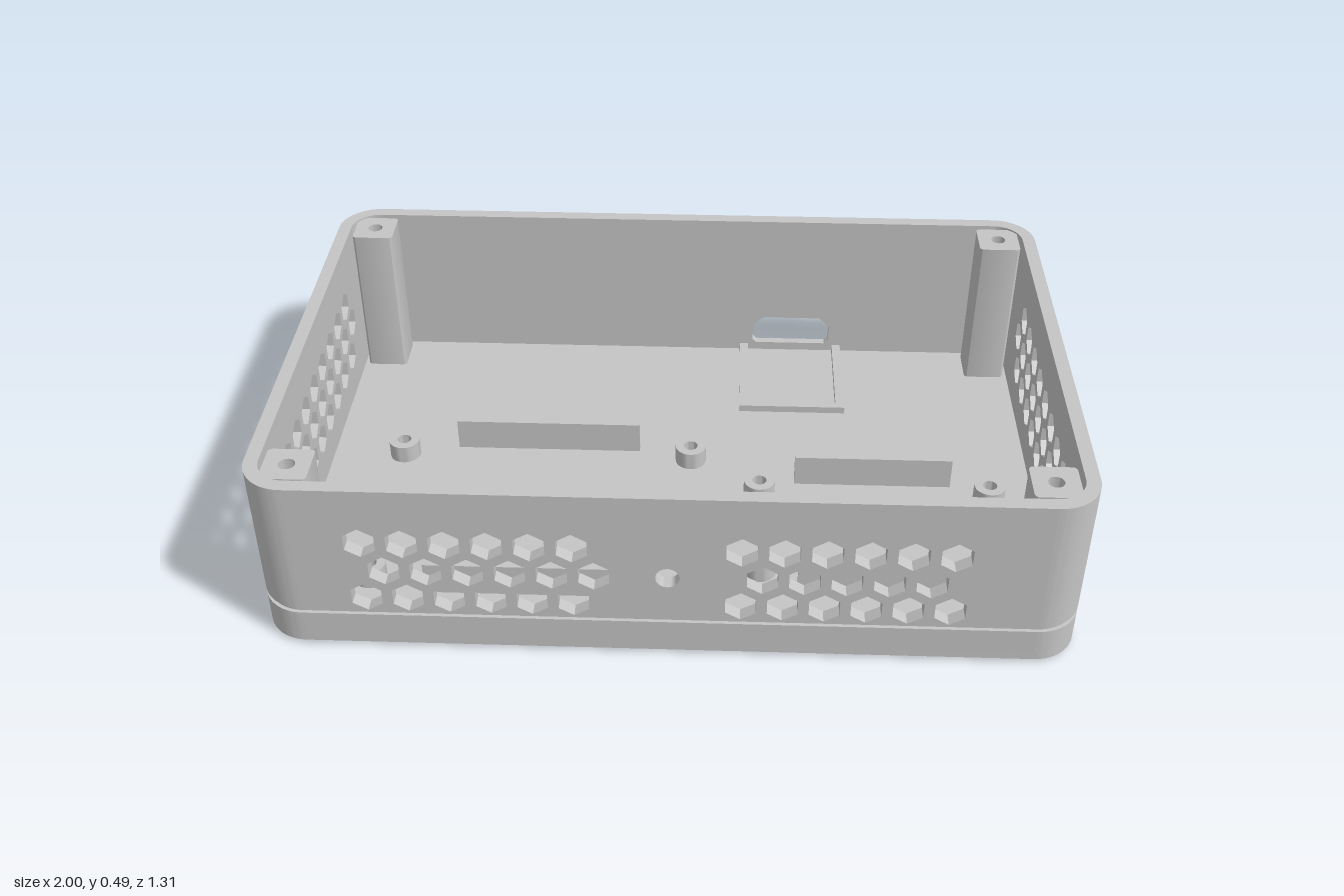
import * as THREE from 'three';
import { toCreasedNormals } from 'three/addons/utils/BufferGeometryUtils.js';

const W = 1, D = 0.655, R = 0.11, T = 0.035;      // half width, half depth, corner radius, wall
const Y0 = 0.01, SEAM0 = 0.101, SEAM1 = 0.116, TOP = 0.485, FLOOR = 0.04;
const GROOVE = 0.009;
const FX = W - R, FZ = D - R;                     // half lengths of the flat walls

export function createModel() {
  const root = new THREE.Group();
  root.name = 'enclosure';
  const grey = new THREE.MeshStandardMaterial({ color: 0xc5c5c5 });
  grey.name = 'light grey plastic';

  const add = (name, geo, x = 0, y = 0, z = 0) => {
    const m = new THREE.Mesh(geo, grey);
    m.name = name;
    m.position.set(x, y, z);
    root.add(m);
    return m;
  };
  const poly = (pts) => new THREE.Shape(pts.map(([x, y]) => new THREE.Vector2(x, y)));
  const extrude = (shape, depth, curveSegments = 12) => toCreasedNormals(
    new THREE.ExtrudeGeometry(shape, { depth, bevelEnabled: false, curveSegments }), 0.6);
  const upright = (shape, h, seg) => extrude(shape, h, seg).rotateX(-Math.PI / 2);
  const box = (name, x0, x1, y0, y1, z0, z1) => add(name,
    new THREE.BoxGeometry(x1 - x0, y1 - y0, z1 - z0), (x0 + x1) / 2, (y0 + y1) / 2, (z0 + z1) / 2);
  const circle = (r) => new THREE.Path().absarc(0, 0, r, 0, Math.PI * 2, true);
  const roundedRect = (hx, hy, r) => {
    const s = new THREE.Shape();
    [[1, 1], [-1, 1], [-1, -1], [1, -1]].forEach(([sx, sy], k) =>
      s.absarc(sx * (hx - r), sy * (hy - r), r, k * Math.PI / 2, (k + 1) * Math.PI / 2, false));
    s.closePath();
    return s;
  };

  // Wall panel in its own plane, turned to face outward
  const panel = (name, shape, dist, angle, thick) =>
    add(name, extrude(shape, thick).translate(0, 0, dist - thick)).rotation.y = angle;
  const rect = (hw, y0, y1) => poly([[-hw, y0], [hw, y0], [hw, y1], [-hw, y1]]);

  // Rows of pointed-top hexagonal vents
  const HEX = 0.0425, ROWS = [0.329, 0.244, 0.1595];
  const addHexes = (shape, row, x0, count, sign = 1) => {
    for (let i = 0; i < count; i++) {
      const pts = [];
      for (let k = 0; k < 6; k++) {
        const a = Math.PI / 6 - k * Math.PI / 3;
        pts.push(new THREE.Vector2(sign * (x0 + i * 0.1) + HEX * Math.cos(a), ROWS[row] + HEX * Math.sin(a)));
      }
      shape.holes.push(new THREE.Path(pts));
    }
  };

  // Front wall with two vent fields and a round button hole
  const front = rect(FX, SEAM1, TOP);
  [0, 2].forEach((r) => { addHexes(front, r, -0.725, 6); addHexes(front, r, 0.175, 6); });
  addHexes(front, 1, -0.675, 6);
  addHexes(front, 1, 0.225, 5);
  front.holes.push(new THREE.Path().absarc(0, 0.244, 0.029, 0, Math.PI * 2, true));
  panel('frontWall', front, D, 0, T);
  panel('frontBaseWall', rect(FX, Y0, SEAM0), D, 0, T);
  panel('frontGroove', rect(FX, SEAM0, SEAM1), D - GROOVE, 0, T - GROOVE);

  // Side walls with vents
  for (const s of [1, -1]) {
    const side = rect(FZ, SEAM1, TOP);
    [0, 2].forEach((r) => addHexes(side, r, -0.36, 9, -s));
    addHexes(side, 1, -0.41, 9, -s);
    const a = s * Math.PI / 2, n = s > 0 ? 'left' : 'right';
    panel(n + 'Wall', side, W, a, T);
    panel(n + 'BaseWall', rect(FZ, Y0, SEAM0), W, a, T);
    panel(n + 'Groove', rect(FZ, SEAM0, SEAM1), W - GROOVE, a, T - GROOVE);
  }

  // Back wall in two layers, so the port opening has a stepped surround
  const backLayer = (a, b, yb, yt, dist, thick) => {
    const c = 0.03, e = 0.012;
    panel('backWall', poly([[-FX, SEAM1], [a, SEAM1], [a, yt - c], [a + c, yt], [b - c, yt],
      [b, yt - c], [b, SEAM1], [FX, SEAM1], [FX, TOP], [-FX, TOP]]), dist, Math.PI, thick);
    panel('backBaseWall', poly([[-FX, Y0], [FX, Y0], [FX, SEAM0], [b, SEAM0], [b, yb + e],
      [b - e, yb], [a + e, yb], [a, yb + e], [a, SEAM0], [-FX, SEAM0]]), dist, Math.PI, thick);
  };
  backLayer(-0.44, -0.2, 0.055, 0.17, D, 0.012);
  backLayer(-0.435, -0.205, 0.065, 0.155, D - 0.012, T - 0.012);
  box('backGroove', -FX, 0.205, SEAM0, SEAM1, -D + GROOVE, -D + T);
  box('backGroove', 0.435, FX, SEAM0, SEAM1, -D + GROOVE, -D + T);

  // Rounded wall corners and square screw posts
  const sector = (ro) => {
    const s = new THREE.Shape();
    s.absarc(0, 0, ro, 0, Math.PI / 2, false);
    s.absarc(0, 0, R - T, Math.PI / 2, 0, true);
    return s;
  };
  const postShape = roundedRect(0.057, 0.057, 0.012);
  postShape.holes.push(circle(0.02));
  const post = upright(postShape, 0.48 - FLOOR);
  [[1, -1], [-1, -1], [-1, 1], [1, 1]].forEach(([sx, sz], k) => {
    const corner = (name, ro, y0, y1) =>
      add(name, upright(sector(ro), y1 - y0), sx * FX, y0, sz * FZ).rotation.y = k * Math.PI / 2;
    corner('upperCorner', R, SEAM1, TOP);
    corner('cornerGroove', R - GROOVE, SEAM0, SEAM1);
    corner('baseCorner', R, Y0, SEAM0);
    add('screwPost', post, sx * 0.897, FLOOR, sz * 0.552);
  });

  // Floor slab with chamfered bottom edge
  const b = 0.01;
  add('floor', toCreasedNormals(new THREE.ExtrudeGeometry(roundedRect(W - b, D - b, R - b), {
    depth: FLOOR - 2 * b, bevelEnabled: true, bevelSegments: 1, bevelSize: b, bevelThickness: b, curveSegments: 12,
  }), 0.6).rotateX(-Math.PI / 2), 0, b, 0);

  // Board standoffs
  const ring = new THREE.Shape().absarc(0, 0, 0.042, 0, Math.PI * 2, false);
  ring.holes.push(circle(0.019));
  const standoff = upright(ring, 0.05, 16);
  for (const [xs, zs] of [[[-0.766, 0.034], [-0.06, 0.455]], [[0.224, 0.844], [0.085, 0.395]]])
    for (const x of xs) for (const z of zs) add('standoff', standoff, x, FLOOR, z);

  // Upright ribs beside the boards
  for (const [x0, x1, z] of [[-0.62, -0.11, -0.102], [-0.62, -0.11, 0.497], [0.32, 0.745, 0.027], [0.32, 0.745, 0.457]])
    box('boardRib', x0, x1, FLOOR, FLOOR + 0.09, z - 0.008, z + 0.008);

  // Low tray behind the port
  const TRAY = 0.06;
  box('traySide', 0.167, 0.192, FLOOR, TRAY, -D + T, -0.295);
  box('traySide', 0.447, 0.472, FLOOR, TRAY, -D + T, -0.295);
  box('trayFront', 0.192, 0.447, FLOOR, TRAY, -0.32, -0.295);

  // Square button holder inside the front wall
  const holder = poly([[-0.073, -0.073], [0.073, -0.073], [0.073, 0.073], [-0.073, 0.073]]);
  holder.holes.push(new THREE.Path([[-1, -1], [-1, 1], [1, 1], [1, -1]].map(([x, y]) => new THREE.Vector2(x * 0.04, y * 0.04))));
  add('buttonHolder', extrude(holder, 0.047), 0, 0.244, 0.573);

  return root;
}
